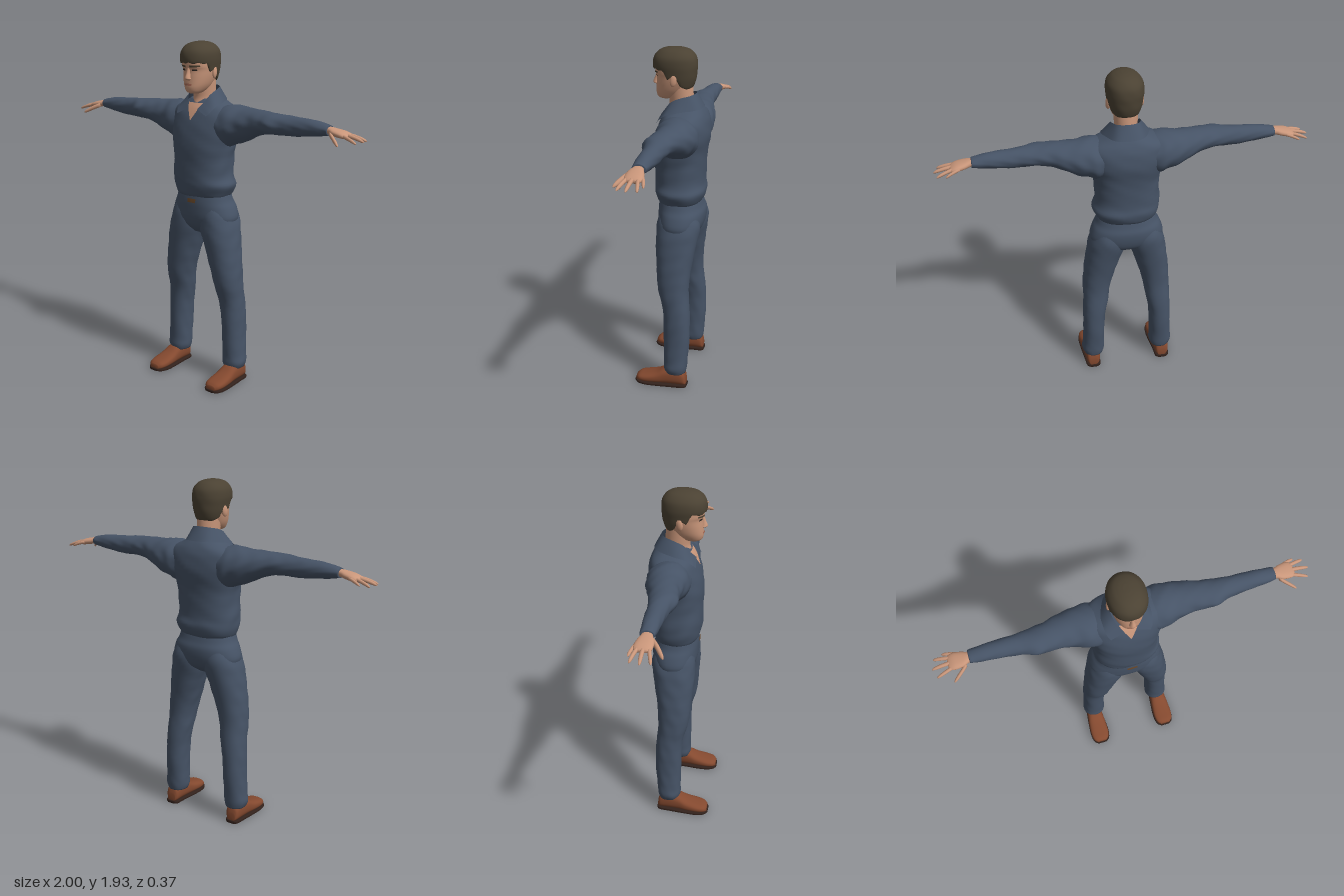
import * as THREE from 'three';

const flat = (name, color, side = THREE.FrontSide) => {
  const m = new THREE.MeshStandardMaterial({ color, side });
  m.name = name;
  return m;
};

// Smooth closed loft along axis k (0 x, 1 y, 2 z). Rows ascend: [t, uMin, uMax, vMin, vMax],
// where u and v are the next two axes in cyclic order (y: u = z, v = x).
function loft(k, rows, { e = 2, seg = 32, sub = 4, ripple = 0 } = {}) {
  const curve = (f) => new THREE.CatmullRomCurve3(rows.map(f), false, 'catmullrom', 0.5);
  const A = curve((r) => new THREE.Vector3(r[0], r[1], r[2]));
  const B = curve((r) => new THREE.Vector3(r[3], r[4], 0));
  const n = (rows.length - 1) * sub, pos = [], idx = [];
  const put = (t, u, v) => {
    const p = [0, 0, 0];
    p[k] = t; p[(k + 1) % 3] = u; p[(k + 2) % 3] = v;
    pos.push(...p);
  };
  const pw = (c) => Math.sign(c) * Math.abs(c) ** (2 / e);
  for (let i = 0; i <= n; i++) {
    const a = A.getPoint(i / n), b = B.getPoint(i / n);
    for (let j = 0; j < seg; j++) {
      const w = (j / seg) * Math.PI * 2;
      const s = 1 + ripple * Math.sin(a.x * 55 + 3 * Math.sin(2 * w)) * Math.cos(3 * w + a.x * 17);
      put(a.x, (a.y + a.z) / 2 + (a.z - a.y) / 2 * s * pw(Math.cos(w)),
        (b.x + b.y) / 2 + (b.y - b.x) / 2 * s * pw(Math.sin(w)));
    }
  }
  for (let i = 0; i < n; i++) for (let j = 0; j < seg; j++) {
    const a = i * seg + j, b = i * seg + (j + 1) % seg;
    idx.push(a, b, b + seg, a, b + seg, a + seg);
  }
  // end caps
  for (const i of [0, n]) {
    const r = rows[i ? rows.length - 1 : 0], c = pos.length / 3;
    put(r[0], (r[1] + r[2]) / 2, (r[3] + r[4]) / 2);
    for (let j = 0; j < seg; j++) {
      const a = i * seg + j, b = i * seg + (j + 1) % seg;
      idx.push(...(i ? [a, b, c] : [b, a, c]));
    }
  }
  return build(pos, idx);
}

function build(pos, idx) {
  const g = new THREE.BufferGeometry();
  g.setAttribute('position', new THREE.Float32BufferAttribute(pos, 3));
  g.setIndex(idx);
  g.computeVertexNormals();
  return g;
}

function mirror(geo) {
  const g = geo.clone().scale(-1, 1, 1);
  g.index.array.reverse();
  return g;
}

// Ruled grid between two edge functions f(s) and h(s)
function ruled(f, h, n, m) {
  const pos = [], idx = [];
  for (let i = 0; i <= n; i++) for (let j = 0; j <= m; j++)
    pos.push(...f(i / n).clone().lerp(h(i / n), j / m).toArray());
  for (let i = 0; i < n; i++) for (let j = 0; j < m; j++) {
    const a = i * (m + 1) + j, b = a + m + 1;
    idx.push(a, b, b + 1, a, b + 1, a + 1);
  }
  return build(pos, idx);
}

// Thin patch laid on the front of a mesh; corners in xy: bottom left, bottom right, top right, top left
function drape(mesh, [bl, br, tr, tl], lift) {
  const v = (p) => new THREE.Vector3(p[0], p[1], 0);
  const g = ruled((s) => v(bl).lerp(v(br), s), (s) => v(tl).lerp(v(tr), s), 8, 6);
  const ray = new THREE.Raycaster(), p = g.attributes.position;
  let z = 0.06;
  for (let i = 0; i < p.count; i++) {
    ray.set(new THREE.Vector3(p.getX(i) + 1e-5, p.getY(i), 1), new THREE.Vector3(0, 0, -1));
    const hit = ray.intersectObject(mesh)[0];
    if (hit) z = hit.point.z;
    p.setZ(i, z + lift);
  }
  g.computeVertexNormals();
  return g;
}

export function createModel() {
  const model = new THREE.Group();
  const cloth = flat('blue cloth', 0x465366, THREE.DoubleSide), skin = flat('skin', 0xc9967a);
  const hairMat = flat('dark hair', 0x4b4233), leather = flat('brown leather', 0x84492f);
  const soleMat = flat('dark sole', 0x33221c), metal = flat('buckle bronze', 0x6b4a2c);
  const lipMat = flat('lips', 0xa86c58), eyeMat = flat('eyes', 0x2c2622);
  const add = (name, geo, mat, parent = model) => {
    const m = new THREE.Mesh(geo, mat);
    m.name = name;
    parent.add(m);
    return m;
  };
  const pair = (name, geo, mat) => {
    add(name + 'Left', geo, mat);
    add(name + 'Right', mirror(geo), mat);
  };

  // Shirt body, blousing over the waist
  const shirt = add('shirt', loft(1, [
    [1.085, -0.14, 0.088, -0.16, 0.155], [1.105, -0.153, 0.1, -0.17, 0.168],
    [1.15, -0.165, 0.11, -0.18, 0.19], [1.2, -0.158, 0.112, -0.183, 0.173],
    [1.3, -0.16, 0.114, -0.178, 0.174], [1.38, -0.168, 0.115, -0.188, 0.186],
    [1.46, -0.18, 0.106, -0.205, 0.205], [1.53, -0.175, 0.085, -0.212, 0.212],
    [1.57, -0.162, 0.068, -0.19, 0.19], [1.6, -0.145, 0.05, -0.13, 0.13],
    [1.625, -0.125, 0.03, -0.085, 0.085],
  ], { e: 2.3, seg: 48, ripple: 0.014 }), cloth);

  // Sleeves
  pair('sleeve', loft(0, [
    [0.08, 1.43, 1.58, -0.14, 0.05], [0.16, 1.37, 1.595, -0.16, 0.07], [0.21, 1.385, 1.597, -0.16, 0.065],
    [0.27, 1.405, 1.593, -0.15, 0.05], [0.34, 1.437, 1.588, -0.13, 0.042], [0.41, 1.462, 1.585, -0.108, 0.045],
    [0.47, 1.47, 1.582, -0.098, 0.05], [0.54, 1.47, 1.577, -0.088, 0.025], [0.62, 1.474, 1.573, -0.085, 0.014],
    [0.72, 1.485, 1.566, -0.08, 0.006], [0.785, 1.496, 1.555, -0.075, 0], [0.805, 1.499, 1.55, -0.072, -0.004],
  ], { ripple: 0.03 }), cloth);

  // Trousers: hips and legs
  const hips = add('hips', loft(1, [
    [0.87, -0.08, 0.03, -0.09, 0.09], [0.91, -0.135, 0.07, -0.17, 0.17], [0.96, -0.157, 0.088, -0.207, 0.207],
    [1.02, -0.162, 0.092, -0.193, 0.193], [1.06, -0.15, 0.092, -0.172, 0.172], [1.1, -0.14, 0.088, -0.16, 0.16],
  ], { e: 2.3, seg: 40 }), cloth);
  pair('trouserLeg', loft(1, [
    [0.088, -0.108, 0.012, 0.152, 0.266], [0.12, -0.113, 0.02, 0.142, 0.276], [0.17, -0.117, 0.018, 0.142, 0.272],
    [0.28, -0.126, 0.022, 0.14, 0.265], [0.4, -0.126, 0.024, 0.132, 0.263], [0.5, -0.12, 0.032, 0.113, 0.258],
    [0.6, -0.112, 0.06, 0.097, 0.255], [0.7, -0.119, 0.07, 0.07, 0.248], [0.8, -0.132, 0.08, 0.04, 0.235],
    [0.9, -0.15, 0.086, 0.006, 0.219], [0.97, -0.155, 0.085, 0, 0.2], [1.03, -0.14, 0.07, 0.02, 0.17],
  ], { e: 2.2, ripple: 0.02 }), cloth);
  add('buckle', drape(hips, [[-0.02, 1.053], [0.036, 1.053], [0.036, 1.075], [-0.02, 1.075]], 0.006), metal);

  // Shoes and soles
  pair('shoe', loft(2, [
    [-0.112, 0.19, 0.24, 0.012, 0.06], [-0.098, 0.177, 0.253, 0.01, 0.1], [-0.05, 0.172, 0.26, 0.01, 0.12],
    [0.01, 0.167, 0.265, 0.01, 0.108], [0.06, 0.163, 0.271, 0.01, 0.082], [0.12, 0.161, 0.274, 0.01, 0.064],
    [0.16, 0.17, 0.266, 0.01, 0.054], [0.18, 0.19, 0.247, 0.01, 0.04],
  ], { e: 2.5 }), leather);
  pair('sole', loft(2, [
    [-0.117, 0.19, 0.24, 0, 0.016], [-0.1, 0.174, 0.257, 0, 0.018], [-0.04, 0.17, 0.264, 0, 0.018],
    [0.06, 0.159, 0.274, 0, 0.016], [0.12, 0.157, 0.277, 0, 0.016], [0.165, 0.167, 0.268, 0.002, 0.018],
    [0.186, 0.19, 0.245, 0.004, 0.018],
  ], { e: 6 }), soleMat);

  // Hands: palm, then fingers and thumb from root to tip
  pair('palm', loft(0, [
    [0.77, 1.507, 1.545, -0.06, -0.014], [0.81, 1.506, 1.543, -0.065, -0.008], [0.84, 1.5, 1.538, -0.077, 0.004],
    [0.88, 1.494, 1.53, -0.086, 0.006], [0.905, 1.493, 1.52, -0.082, 0], [0.915, 1.5, 1.512, -0.07, -0.01],
  ], { e: 2.3, seg: 20 }), skin);
  const fingers = {
    pinky: [[0.865, 1.513, -0.076], [0.905, 1.506, -0.092], [0.938, 1.488, -0.101], 0.0085],
    ringFinger: [[0.885, 1.511, -0.06], [0.94, 1.505, -0.076], [0.985, 1.484, -0.086], 0.0095],
    middleFinger: [[0.885, 1.511, -0.038], [0.945, 1.507, -0.038], [1, 1.486, -0.037], 0.01],
    indexFinger: [[0.885, 1.51, -0.014], [0.935, 1.503, 0], [0.984, 1.482, 0.011], 0.0095],
    thumb: [[0.825, 1.513, -0.006], [0.865, 1.495, 0.026], [0.908, 1.468, 0.052], 0.012],
  };
  for (const [name, [a, b, c, r]] of Object.entries(fingers)) {
    const path = new THREE.QuadraticBezierCurve3(new THREE.Vector3(...a),
      new THREE.Vector3(...b), new THREE.Vector3(...c));
    const rows = [0, 0.25, 0.5, 0.75, 0.92, 1].map((t, i) => {
      const p = path.getPoint(t), q = r * [1, 1.05, 1, 0.9, 0.65, 0.15][i];
      return [p.x, p.y - q, p.y + q, p.z - q, p.z + q];
    });
    pair(name, loft(0, rows, { seg: 10, sub: 2 }), skin);
  }

  // Neck and open shirt front
  add('neck', loft(1, [
    [1.54, -0.1, 0.05, -0.06, 0.06], [1.59, -0.098, 0.05, -0.06, 0.06], [1.63, -0.092, 0.04, -0.06, 0.06],
    [1.68, -0.09, 0.045, -0.062, 0.062], [1.74, -0.085, 0.05, -0.065, 0.065],
  ]), skin);
  add('openNeckline', drape(shirt, [[-0.002, 1.513], [0.002, 1.513], [0.052, 1.603], [-0.052, 1.603]], 0.004), skin);

  // Folded collar with pointed tips
  const edge = (pts) => {
    const half = pts.map((p) => new THREE.Vector3(...p));
    const other = half.slice(1).reverse().map((p) => new THREE.Vector3(-p.x, p.y, p.z));
    const c = new THREE.CatmullRomCurve3([...other, ...half], false, 'catmullrom', 0.5);
    return (s) => c.getPoint(s);
  };
  const fold = edge([[0, 1.69, -0.108], [0.055, 1.685, -0.088], [0.077, 1.672, -0.035],
    [0.074, 1.648, 0.015], [0.055, 1.605, 0.052], [0.034, 1.572, 0.078]]);
  const hem = edge([[0, 1.615, -0.148], [0.075, 1.615, -0.128], [0.122, 1.604, -0.04],
    [0.126, 1.59, 0.025], [0.118, 1.562, 0.066], [0.104, 1.54, 0.086]]);
  add('collar', ruled(fold, hem, 48, 4), cloth);

  // Head with nose and ears
  const head = add('head', loft(1, [
    [1.655, 0.035, 0.085, -0.025, 0.025], [1.664, 0, 0.103, -0.042, 0.042], [1.685, -0.04, 0.111, -0.058, 0.058],
    [1.71, -0.06, 0.111, -0.07, 0.07], [1.745, -0.08, 0.109, -0.08, 0.08], [1.78, -0.095, 0.107, -0.086, 0.086],
    [1.805, -0.1, 0.115, -0.088, 0.088], [1.85, -0.098, 0.112, -0.086, 0.086], [1.89, -0.07, 0.085, -0.065, 0.065],
    [1.91, -0.03, 0.045, -0.03, 0.03],
  ], { e: 2.2 }), skin);
  add('nose', loft(1, [
    [1.727, 0.095, 0.112, -0.01, 0.01], [1.734, 0.09, 0.129, -0.019, 0.019], [1.743, 0.09, 0.131, -0.016, 0.016],
    [1.765, 0.09, 0.122, -0.011, 0.011], [1.79, 0.09, 0.114, -0.01, 0.01], [1.806, 0.09, 0.112, -0.012, 0.012],
  ], { seg: 16 }), skin);
  pair('ear', new THREE.SphereGeometry(1, 14, 10).scale(0.011, 0.033, 0.019).rotateX(-0.15)
    .rotateY(0.3).translate(0.089, 1.768, -0.004), skin);

  // Brows, eyes and mouth
  const sides = { Left: 1, Right: -1 };
  for (const [side, s] of Object.entries(sides)) {
    const q = (pts) => (s > 0 ? pts : [pts[1], pts[0], pts[3], pts[2]].map(([x, y]) => [-x, y]));
    add('brow' + side, drape(head, q([[0.014, 1.795], [0.066, 1.8], [0.064, 1.808], [0.014, 1.806]]), 0.004), hairMat);
    add('eye' + side, drape(head, q([[0.022, 1.777], [0.052, 1.778], [0.048, 1.787], [0.026, 1.787]]), 0.002), eyeMat);
  }
  add('mouth', drape(head, [[-0.022, 1.699], [0.022, 1.699], [0.026, 1.71], [-0.026, 1.71]], 0.004), lipMat);

  // Hair: rounded cap cut off along a hairline that runs from fringe to nape
  const hair = loft(1, [
    [1.712, -0.07, 0.04, -0.06, 0.06], [1.722, -0.088, 0.08, -0.075, 0.075], [1.76, -0.102, 0.112, -0.089, 0.089],
    [1.8, -0.108, 0.122, -0.095, 0.095], [1.84, -0.111, 0.129, -0.099, 0.099], [1.88, -0.104, 0.122, -0.093, 0.093],
    [1.91, -0.08, 0.097, -0.07, 0.07], [1.924, -0.05, 0.065, -0.043, 0.043], [1.93, -0.015, 0.03, -0.015, 0.015],
  ], { e: 2.15, seg: 56, sub: 6, ripple: 0.006 });
  const line = [[-0.07, 1.712], [-0.035, 1.735], [-0.012, 1.785], [0.015, 1.785], [0.028, 1.768], [0.04, 1.785],
    [0.055, 1.822], [0.09, 1.818], [0.14, 1.822]];
  const p = hair.attributes.position;
  for (let i = 0; i < p.count; i++) {
    const z = THREE.MathUtils.clamp(p.getZ(i), -0.07, 0.14);
    const k = Math.max(1, line.findIndex((l) => l[0] >= z));
    const [z0, y0] = line[k - 1], [z1, y1] = line[k];
    const cut = y0 + (y1 - y0) * (z - z0) / (z1 - z0) + 0.004 * Math.sin(p.getX(i) * 130) * (z > 0.06);
    p.setY(i, Math.max(p.getY(i), cut));
  }
  hair.computeVertexNormals();
  add('hair', hair, hairMat);

  return model;
}
